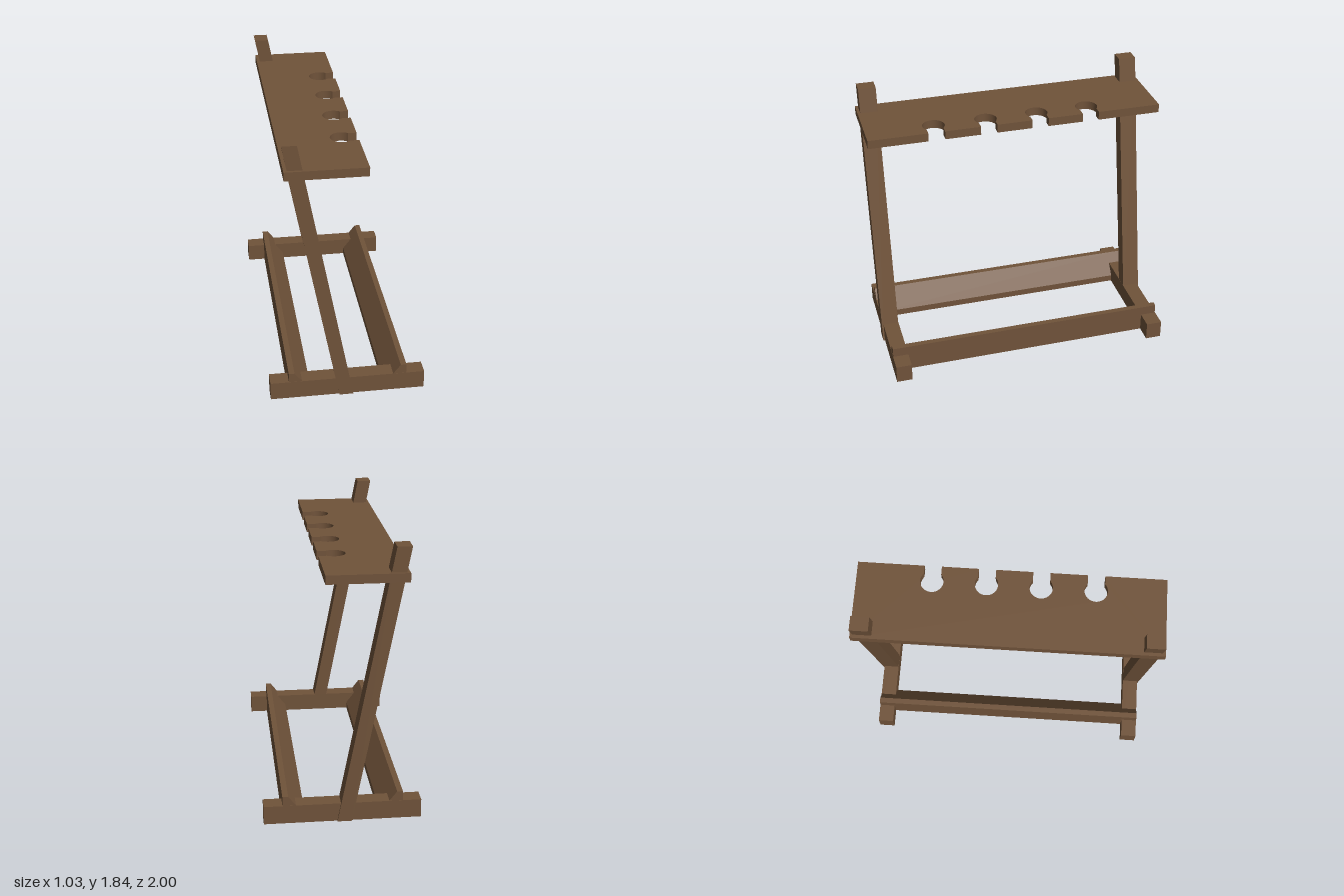
import * as THREE from 'three';

const wood = new THREE.MeshStandardMaterial({ color: 0x70533a });
wood.name = 'brown wood';

// Closed outline from [x, y] points
const outline = (points) => new THREE.Shape(points.map(([x, y]) => new THREE.Vector2(x, y)));

// Extrudes an x-y outline between two z positions
function bar(name, points, z0, z1) {
  const geometry = new THREE.ExtrudeGeometry(outline(points), { depth: z1 - z0, bevelEnabled: false });
  geometry.translate(0, 0, z0);
  const mesh = new THREE.Mesh(geometry, wood);
  mesh.name = name;
  return mesh;
}

// Top board with round keyhole notches along its +x edge
function notchedShelf() {
  const left = -0.405, right = 0.117, cx = 0.012, radius = 0.075, slot = 0.056;
  const angle = Math.asin(slot / radius);
  const neck = cx + radius * Math.cos(angle);
  const shape = new THREE.Shape();
  shape.moveTo(left, -1);
  shape.lineTo(right, -1);
  for (const z of [0.545, 0.192, -0.16, -0.512]) {
    const y = -z;
    shape.lineTo(right, y - slot);
    shape.lineTo(neck, y - slot);
    shape.absarc(cx, y, radius, -angle, angle - 2 * Math.PI, true);
    shape.lineTo(right, y + slot);
  }
  shape.lineTo(right, 1);
  shape.lineTo(left, 1);
  const geometry = new THREE.ExtrudeGeometry(shape, { depth: 0.058, bevelEnabled: false, curveSegments: 24 });
  geometry.rotateX(-Math.PI / 2);
  geometry.translate(0, 1.62, 0);
  const mesh = new THREE.Mesh(geometry, wood);
  mesh.name = 'notchedShelf';
  return mesh;
}

export function createModel() {
  const rack = new THREE.Group();
  rack.name = 'rack';

  // Feet and leaning posts, one pair at each end
  const footPoints = [[-0.515, 0], [0.515, 0], [0.515, 0.125], [-0.515, 0.125]];
  const postPoints = [[-0.058, 0], [0.036, 0], [-0.32, 1.84], [-0.415, 1.84]];
  for (const [label, side] of [['front', 1], ['back', -1]]) {
    const span = (inner, outer) => [inner * side, outer * side].sort((a, b) => a - b);
    rack.add(bar(label + 'Foot', footPoints, ...span(0.861, 0.969)));
    rack.add(bar(label + 'Post', postPoints, ...span(0.862, 0.981)));
  }

  // Long rails with a sloped inner face
  const railPoints = [[0.245, 0], [0.393, 0], [0.393, 0.19], [0.355, 0.19], [0.245, 0.047]];
  rack.add(bar('leftRail', railPoints, -0.967, 0.967));
  rack.add(bar('rightRail', railPoints.map(([x, y]) => [-x, y]), -0.967, 0.967));

  rack.add(notchedShelf());
  return rack;
}
